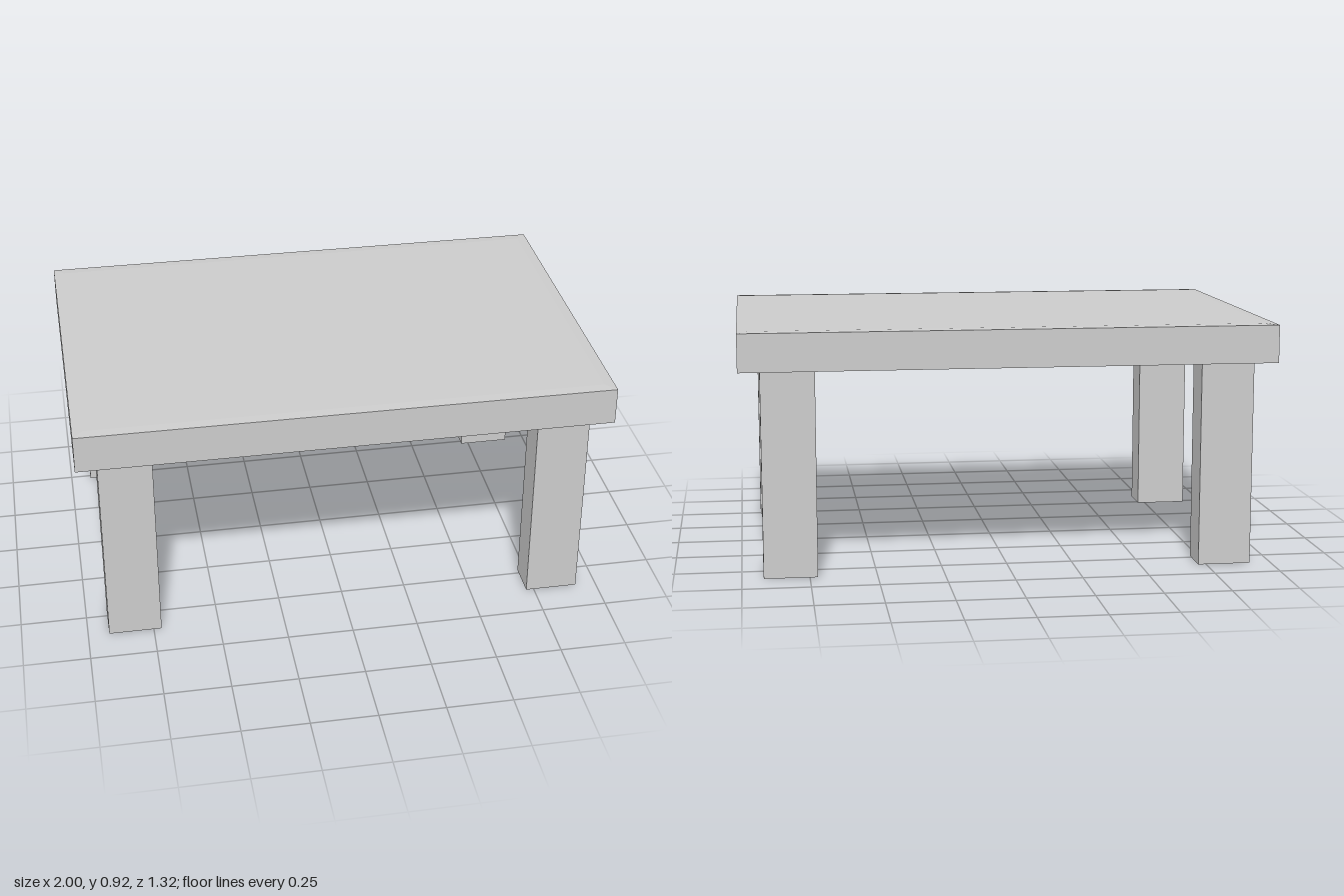
import * as THREE from 'three';

const material = new THREE.MeshStandardMaterial({ color: 0xcccccc, flatShading: true });

const TOP = { x: 1, z: 0.662 };          // outer half sizes of the table top
const INNER = { x: 0.92, z: 0.613 };     // half sizes of the hollow underneath
const RIM_Y = 0.775, CEILING_Y = 0.888, EDGE_Y = 0.917, TOP_Y = 0.92;

// Box between two heights whose lower and upper rectangles [x0, x1, z0, z1] may differ
function taperedBox(name, y0, y1, lower, upper = lower) {
  const geometry = new THREE.BoxGeometry(1, 1, 1);
  const p = geometry.attributes.position;
  for (let i = 0; i < p.count; i++) {
    const up = p.getY(i) > 0;
    const [x0, x1, z0, z1] = up ? upper : lower;
    p.setXYZ(i, p.getX(i) > 0 ? x1 : x0, up ? y1 : y0, p.getZ(i) > 0 ? z1 : z0);
  }
  geometry.computeVertexNormals();
  const mesh = new THREE.Mesh(geometry, material);
  mesh.name = name;
  return mesh;
}

const centred = (x, z) => [-x, x, -z, z];

// Corners of a centred rectangle, for the apron outline and its hole
const outline = (x, z) => [[-x, -z], [x, -z], [x, z], [-x, z]].map(c => new THREE.Vector2(...c));

// Rectangle running from an inner corner to the hollow's corner, mirrored by signs
function cornerRect(x, z, sx, sz) {
  const xs = [x * sx, INNER.x * sx].sort((a, b) => a - b);
  const zs = [z * sz, INNER.z * sz].sort((a, b) => a - b);
  return [...xs, ...zs];
}

export function createModel() {
  const table = new THREE.Group();
  table.name = 'table';

  // Apron around the hollow underside
  const shape = new THREE.Shape(outline(TOP.x, TOP.z));
  shape.holes.push(new THREE.Path(outline(INNER.x, INNER.z)));
  const apronGeometry = new THREE.ExtrudeGeometry(shape, { depth: CEILING_Y - RIM_Y, bevelEnabled: false });
  apronGeometry.rotateX(-Math.PI / 2).translate(0, RIM_Y, 0);
  const apron = new THREE.Mesh(apronGeometry, material);
  apron.name = 'apron';
  table.add(apron);

  // Slab with a very shallow bevel on its upper face
  table.add(taperedBox('tableTop', CEILING_Y, EDGE_Y, centred(TOP.x, TOP.z)));
  table.add(taperedBox('topBevel', EDGE_Y, TOP_Y, centred(TOP.x, TOP.z), centred(0.96, 0.622)));

  // Four legs, each flaring out into a brace inside the hollow
  for (const sx of [-1, 1]) {
    for (const sz of [-1, 1]) {
      const corner = new THREE.Group();
      corner.name = `${sz > 0 ? 'front' : 'back'}${sx > 0 ? 'Left' : 'Right'}Leg`;
      const legRect = cornerRect(0.72, 0.48, sx, sz);
      corner.add(taperedBox('leg', 0, RIM_Y, legRect));
      corner.add(taperedBox('brace', RIM_Y, CEILING_Y, legRect, cornerRect(0.47, 0.3, sx, sz)));
      table.add(corner);
    }
  }
  return table;
}
